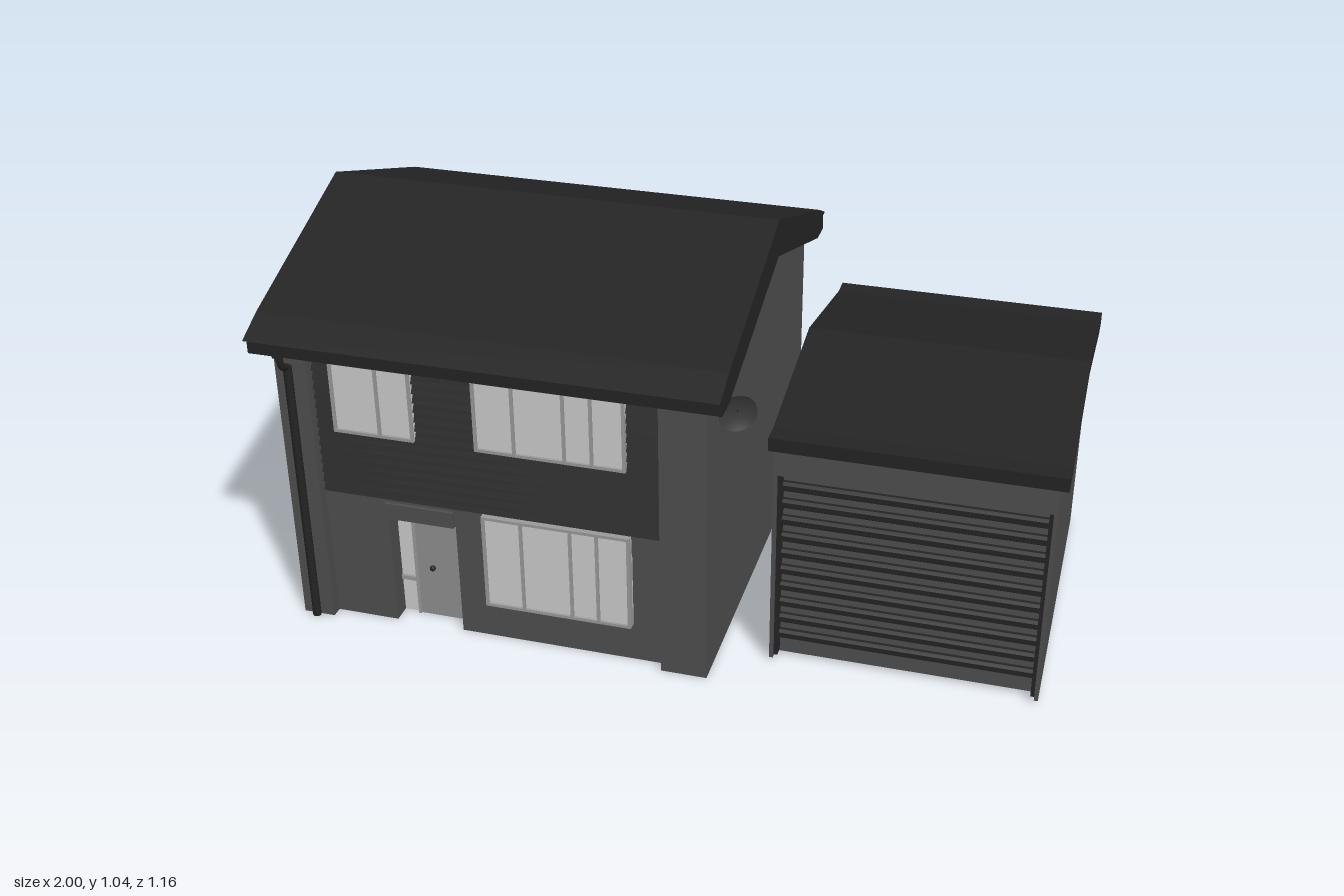
import * as THREE from 'three';

const paint = (color) => new THREE.MeshStandardMaterial({ color });
const wallMat = paint(0x4e4e4e), darkMat = paint(0x242424), glassMat = paint(0xcccccc);
const doorMat = paint(0x8e8e8e), frameMat = paint(0x9a9a9a);

export function createModel() {
  const model = new THREE.Group();

  const add = (parent, name, geometry, material) => {
    const mesh = new THREE.Mesh(geometry, material);
    mesh.name = name;
    parent.add(mesh);
    return mesh;
  };
  // Box given by its extents
  const box = (parent, name, x0, x1, y0, y1, z0, z1, material) => {
    const mesh = add(parent, name, new THREE.BoxGeometry(x1 - x0, y1 - y0, z1 - z0), material);
    mesh.position.set((x0 + x1) / 2, (y0 + y1) / 2, (z0 + z1) / 2);
    return mesh;
  };
  // Side profile of [z, y] points swept along x
  const sweep = (parent, name, points, x0, x1, material) => {
    const shape = new THREE.Shape(points.map(([z, y]) => new THREE.Vector2(-z, y)));
    const geometry = new THREE.ExtrudeGeometry(shape, { depth: x1 - x0, bevelEnabled: false });
    geometry.rotateY(Math.PI / 2).translate(x0, 0, 0);
    return add(parent, name, geometry, material);
  };
  const group = (name) => {
    const g = new THREE.Group();
    g.name = name;
    model.add(g);
    return g;
  };
  // Mirrors one half of a profile about z = mid; the first point lies on the ridge
  const mirrored = (outer, inner, mid) => {
    const flip = ([z, y]) => [-z, y];
    const right = [...outer, ...inner];
    const left = [...right].reverse().map(flip).slice(1, -1);
    return [...right, ...left].map(([z, y]) => [z + mid, y]);
  };

  // House walls: gabled core, front piers and lower front wall around the door recess
  const house = group('house');
  sweep(house, 'walls', [
    [0.43, 0], [0.43, 0.8], [0, 0.955], [-0.49, 0.79], [-0.525, 0.79], [-0.525, 0],
  ], -0.95, 0.16, wallMat);
  box(house, 'leftPier', 0.04, 0.16, 0, 0.79, 0.43, 0.525, wallMat);
  box(house, 'rightPier', -0.95, -0.865, 0, 0.79, 0.43, 0.525, wallMat);
  box(house, 'lowerWall', -0.865, -0.695, 0, 0.325, 0.43, 0.495, wallMat);
  box(house, 'lowerWall', -0.51, 0.04, 0, 0.325, 0.43, 0.495, wallMat);
  box(house, 'wallBand', -0.865, 0.04, 0.325, 0.385, 0.43, 0.5, wallMat);
  box(house, 'doorLintel', -0.695, -0.51, 0.325, 0.37, 0.49, 0.51, wallMat);

  // Overlapping boards on the upper front
  const cladding = group('cladding');
  box(cladding, 'backing', -0.86, 0.04, 0.385, 0.79, 0.43, 0.495, darkMat);
  const boards = 15, pitch = 0.4 / boards;
  for (let i = 0; i < boards; i++) {
    const y = 0.385 + i * pitch;
    sweep(cladding, 'board', [
      [0.49, y], [0.512, y], [0.498, y + pitch], [0.49, y + pitch],
    ], -0.86, 0.04, darkMat);
  }

  // Windows with frame and vertical bars
  const makeWindow = (name, x0, x1, y0, y1, bars) => {
    const w = group(name), t = 0.008;
    box(w, 'glass', x0, x1, y0, y1, 0.48, 0.514, glassMat);
    for (const y of [y0, y1 - t]) box(w, 'rail', x0, x1, y, y + t, 0.5, 0.52, frameMat);
    for (const x of [x0, ...bars, x1 - t]) box(w, 'bar', x, x + t, y0, y1, 0.5, 0.52, frameMat);
  };
  makeWindow('smallUpperWindow', -0.81, -0.595, 0.57, 0.77, [-0.69]);
  makeWindow('wideUpperWindow', -0.435, -0.045, 0.57, 0.77, [-0.335, -0.205, -0.135]);
  makeWindow('lowerWindow', -0.43, -0.04, 0.11, 0.38, [-0.33, -0.2, -0.13]);

  // Recessed front door with sidelight
  const entrance = group('entrance');
  box(entrance, 'door', -0.65, -0.51, 0, 0.325, 0.42, 0.45, doorMat);
  box(entrance, 'doorPanel', -0.605, -0.515, 0.01, 0.315, 0.44, 0.454, doorMat);
  box(entrance, 'sidelight', -0.695, -0.65, 0, 0.325, 0.42, 0.445, glassMat);
  box(entrance, 'sidelightRail', -0.695, -0.65, 0.1, 0.112, 0.44, 0.452, frameMat);
  box(entrance, 'doorPost', -0.653, -0.645, 0, 0.325, 0.44, 0.455, frameMat);
  add(entrance, 'knob', new THREE.SphereGeometry(0.008, 12, 8), darkMat).position.set(-0.6, 0.155, 0.46);

  // House roof with flared eaves and boxed fascias
  const roof = group('houseRoof');
  sweep(roof, 'roof', mirrored(
    [[0, 1.045], [0.495, 0.868], [0.578, 0.828]],
    [[0.52, 0.824], [0.49, 0.785], [0, 0.945]], 0), -1, 0.205, darkMat);
  for (const s of [-1, 1]) {
    box(roof, 'fascia', -1, 0.205, 0.785, 0.824, s * 0.523 - 0.035, s * 0.523 + 0.035, darkMat);
  }

  // Gutter outlet and downpipe
  const pipe = group('downpipe');
  const bend = new THREE.CatmullRomCurve3([
    [0.566, 0.825], [0.566, 0.785], [0.556, 0.758], [0.534, 0.747],
  ].map(([z, y]) => new THREE.Vector3(-0.912, y, z)));
  add(pipe, 'bend', new THREE.TubeGeometry(bend, 16, 0.009, 10), darkMat);
  add(pipe, 'pipe', new THREE.CylinderGeometry(0.011, 0.011, 0.75, 12), darkMat).position.set(-0.912, 0.375, 0.532);
  box(pipe, 'outlet', -0.925, -0.9, 0.79, 0.828, 0.555, 0.577, darkMat);

  // Satellite dish on the side wall
  const dish = group('dish');
  const bowl = [];
  for (let i = 0; i <= 6; i++) bowl.push(new THREE.Vector2(0.049 * i / 6, 0.012 * (i / 6) ** 2));
  const bowlMat = paint(0x3a3a3a);
  bowlMat.side = THREE.DoubleSide;
  add(dish, 'bowl', new THREE.LatheGeometry(bowl, 24).rotateX(Math.PI / 2), bowlMat);
  dish.position.set(0.198, 0.708, 0.39);
  dish.rotation.y = 0.5;
  box(model, 'dishArm', 0.155, 0.2, 0.703, 0.713, 0.382, 0.39, darkMat);

  // Garage walls around the door opening
  const garage = group('garage');
  sweep(garage, 'walls', [
    [0.375, 0.01], [0.375, 0.645], [-0.02, 0.72], [-0.4, 0.645], [-0.45, 0.645], [-0.45, 0.01],
  ], 0.295, 0.98, wallMat);
  box(garage, 'header', 0.295, 0.98, 0.57, 0.645, 0.37, 0.41, wallMat);
  for (const x of [0.295, 0.97]) box(garage, 'jamb', x, x + 0.01, 0.01, 0.57, 0.37, 0.41, wallMat);
  for (const x of [0.305, 0.96]) box(garage, 'doorTrack', x, x + 0.01, 0.015, 0.55, 0.37, 0.402, darkMat);
  box(garage, 'doorTop', 0.305, 0.97, 0.548, 0.57, 0.37, 0.4, wallMat);

  // Ribbed garage door
  for (let i = 0; i < 10; i++) {
    const y = 0.058 + i * 0.049;
    sweep(garage, 'doorRib', [
      [0.37, y], [0.384, y], [0.392, y + 0.006], [0.392, y + 0.02], [0.384, y + 0.026], [0.37, y + 0.026],
    ], 0.315, 0.96, darkMat);
  }

  // Garage roof
  sweep(garage, 'garageRoof', mirrored(
    [[0, 0.745], [0.39, 0.668], [0.447, 0.668]],
    [[0.447, 0.632], [0.39, 0.632], [0, 0.71]], -0.02), 0.285, 1, darkMat);

  return model;
}
